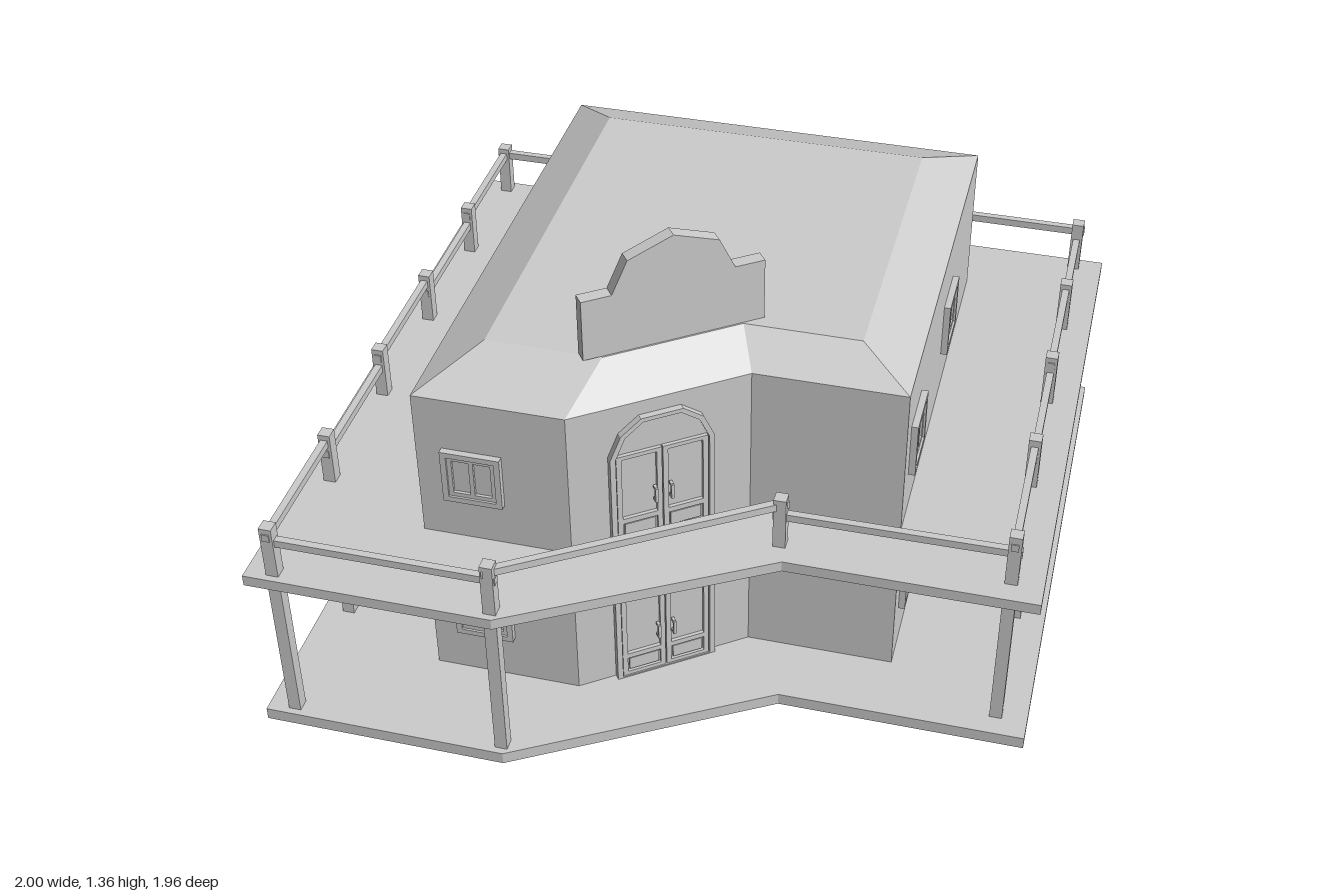
import * as THREE from 'three';

const mat = new THREE.MeshStandardMaterial({ color: 0xcccccc, flatShading: true });

// Plans as [x, z] corners
const deckPlan = [[-1, -0.98], [1, -0.98], [1, 0.59], [0.33, 0.59], [-0.33, 0.975], [-1, 0.975]];
const housePlan = [[-0.61, -0.79], [0.607, -0.79], [0.607, 0.395], [0.2, 0.395], [-0.205, 0.69], [-0.61, 0.69]];
const DOOR_ANGLE = Math.atan2(0.295, 0.405);

function add(parent, name, geometry, x = 0, y = 0, z = 0) {
  const mesh = new THREE.Mesh(geometry, mat);
  mesh.name = name;
  mesh.position.set(x, y, z);
  parent.add(mesh);
  return mesh;
}

function group(parent, name, x, y, z, turn) {
  const g = new THREE.Group();
  g.name = name;
  g.position.set(x, y, z);
  g.rotation.y = turn;
  parent.add(g);
  return g;
}

const box = (w, h, d) => new THREE.BoxGeometry(w, h, d);
const polygon = (pts) => new THREE.Shape(pts.map(([x, y]) => new THREE.Vector2(x, y)));
const extrude = (shape, depth) => new THREE.ExtrudeGeometry(shape, { depth, bevelEnabled: false });

// Upright prism over a floor plan
function prism(plan, height) {
  return extrude(polygon(plan.map(([x, z]) => [x, -z])), height).rotateX(-Math.PI / 2);
}

// Prism whose top is drawn in towards the middle, giving sloped eaves
function hipRoof(plan, height, k, cz) {
  const geo = prism(plan, height);
  const p = geo.attributes.position;
  for (let i = 0; i < p.count; i++) {
    if (p.getY(i) > height / 2) {
      p.setX(i, p.getX(i) * k);
      p.setZ(i, cz + (p.getZ(i) - cz) * k);
    }
  }
  geo.computeVertexNormals();
  return geo;
}

const rect = (x0, y0, x1, y1) => [[x0, y0], [x1, y0], [x1, y1], [x0, y1]];

// Framed window with two sashes, split again when rows is 2
function addWindow(parent, name, x, y, z, turn, rows) {
  const g = group(parent, name, x, y, z, turn);
  const w = 0.16, h = 0.16, edge = 0.016, bar = 0.012;
  const frame = polygon(rect(-w / 2, -h / 2, w / 2, h / 2));
  frame.holes.push(polygon(rect(-w / 2 + edge, -h / 2 + edge, w / 2 - edge, h / 2 - edge)));
  add(g, 'windowFrame', extrude(frame, 0.022), 0, 0, -0.004);
  const sash = polygon(rect(-w / 2 + edge, -h / 2 + edge, w / 2 - edge, h / 2 - edge));
  const pw = (w - 2 * edge - 3 * bar) / 2;
  const ph = (h - 2 * edge - (rows + 1) * bar) / rows;
  for (let c = 0; c < 2; c++) {
    for (let r = 0; r < rows; r++) {
      const px = -w / 2 + edge + bar + c * (pw + bar);
      const py = -h / 2 + edge + bar + r * (ph + bar);
      sash.holes.push(polygon(rect(px, py, px + pw, py + ph)));
    }
  }
  add(g, 'windowSash', extrude(sash, 0.016), 0, 0, -0.004);
  add(g, 'windowGlass', box(w - edge, h - edge, 0.008));
}

// Arched double door, origin at the middle of the sill
const arch = (w, s, t) => [[-w, 0], [w, 0], [w, s], [w * 0.79, s + (t - s) * 0.62], [w * 0.4, t],
  [-w * 0.4, t], [-w * 0.79, s + (t - s) * 0.62], [-w, s]];

function addDoor(parent, name, y) {
  const g = group(parent, name, -0.0025, y, 0.5425, DOOR_ANGLE);
  const frame = polygon(arch(0.143, 0.29, 0.402));
  frame.holes.push(polygon(arch(0.128, 0.285, 0.386).map(([x, v]) => [x, v + 0.004])));
  add(g, 'doorFrame', extrude(frame, 0.022), 0, 0, -0.004);
  add(g, 'archPanel', extrude(polygon(arch(0.13, 0.285, 0.39)), 0.006), 0, 0, -0.002);
  for (const s of [-1, 1]) {
    const leaf = polygon(rect(-0.062, 0.004, 0.062, 0.292));
    leaf.holes.push(polygon(rect(-0.048, 0.016, 0.048, 0.066)), polygon(rect(-0.048, 0.082, 0.048, 0.28)));
    add(g, 'doorLeaf', extrude(leaf, 0.014), s * 0.0635, 0, 0);
    add(g, 'doorLowerPanel', box(0.084, 0.04, 0.012), s * 0.0635, 0.041, 0.005);
    add(g, 'doorHandle', box(0.008, 0.045, 0.008), s * 0.022, 0.145, 0.024);
    for (const e of [-1, 1]) add(g, 'handleMount', box(0.008, 0.008, 0.014), s * 0.022, 0.145 + e * 0.02, 0.016);
  }
}

// Rail bar between two posts
function addRail(parent, [x0, z0], [x1, z1], y) {
  const rail = add(parent, 'rail', box(Math.hypot(x1 - x0, z1 - z0) + 0.04, 0.022, 0.02), (x0 + x1) / 2, y, (z0 + z1) / 2);
  rail.rotation.y = Math.atan2(z0 - z1, x1 - x0);
}

export function createModel() {
  const model = new THREE.Group();
  model.name = 'house';

  // Floors, walls and roof
  add(model, 'groundDeck', prism(deckPlan, 0.036));
  add(model, 'balconyDeck', prism(deckPlan, 0.032), 0, 0.492, 0);
  add(model, 'lowerWalls', prism(housePlan, 0.444), 0, 0.036, 0);
  add(model, 'upperWalls', prism(housePlan, 0.444), 0, 0.524, 0);
  add(model, 'roof', hipRoof(housePlan, 0.075, 0.766, -0.05), 0, 0.968, 0);

  // Veranda posts in order round the edge; the inner front one stands on the balcony only
  const posts = [[-0.925, 0.94], [-0.925, 0.555], [-0.925, 0.165], [-0.925, -0.21], [-0.925, -0.585],
    [-0.925, -0.945], [-0.595, -0.945], [-0.255, -0.945], [0.115, -0.945], [0.505, -0.945], [0.915, -0.945],
    [0.915, -0.62], [0.915, -0.255], [0.915, 0.12], [0.915, 0.515], [0.31, 0.52], [-0.34, 0.94]];
  const railHeights = [0.655, 0.62, 0.655, 0.62, 0.655, 0.655, 0.655, 0.655, 0.655, 0.655,
    0.62, 0.655, 0.62, 0.65, 0.622, 0.657, 0.632];
  const veranda = group(model, 'veranda', 0, 0, 0, 0);
  posts.forEach((p, i) => {
    const base = i === 15 ? 0.52 : 0.03;
    add(veranda, 'post', box(0.034, 0.682 - base, 0.034), p[0], (0.682 + base) / 2, p[1]);
    addRail(veranda, p, posts[(i + 1) % posts.length], railHeights[i]);
  });

  // Doors on the slanted wall
  addDoor(model, 'lowerDoor', 0.036);
  addDoor(model, 'upperDoor', 0.524);

  // Windows: front, +x side, -x side, back
  const q = Math.PI / 2;
  const windows = [
    [-0.46, 0.257, 0.69, 0, 1], [-0.46, 0.732, 0.69, 0, 1],
    [0.607, 0.257, 0.245, q, 1], [0.607, 0.257, -0.495, q, 1],
    [0.607, 0.738, 0.245, q, 1], [0.607, 0.738, -0.295, q, 1],
    [-0.61, 0.222, 0.4, -q, 1], [-0.61, 0.222, -0.425, -q, 2],
    [-0.61, 0.728, 0.4, -q, 1], [-0.61, 0.728, -0.425, -q, 2],
    [0.385, 0.3, -0.79, 2 * q, 2], [-0.09, 0.3, -0.79, 2 * q, 2],
    [0.385, 0.705, -0.79, 2 * q, 2], [-0.31, 0.705, -0.79, 2 * q, 2],
  ];
  for (const [x, y, z, turn, rows] of windows) addWindow(model, 'window', x, y, z, turn, rows);

  // Stepped parapet board standing on the roof, parallel to the door wall
  const board = group(model, 'parapet', -0.01, 1.045, 0.385, DOOR_ANGLE);
  const half = [[0.246, 0], [0.246, 0.178], [0.165, 0.178], [0.122, 0.27]];
  const outline = [...half, [0, 0.315], ...half.map(([x, y]) => [-x, y]).reverse()];
  add(board, 'parapetBoard', extrude(polygon(outline), 0.036), 0, 0, -0.018);

  return model;
}
